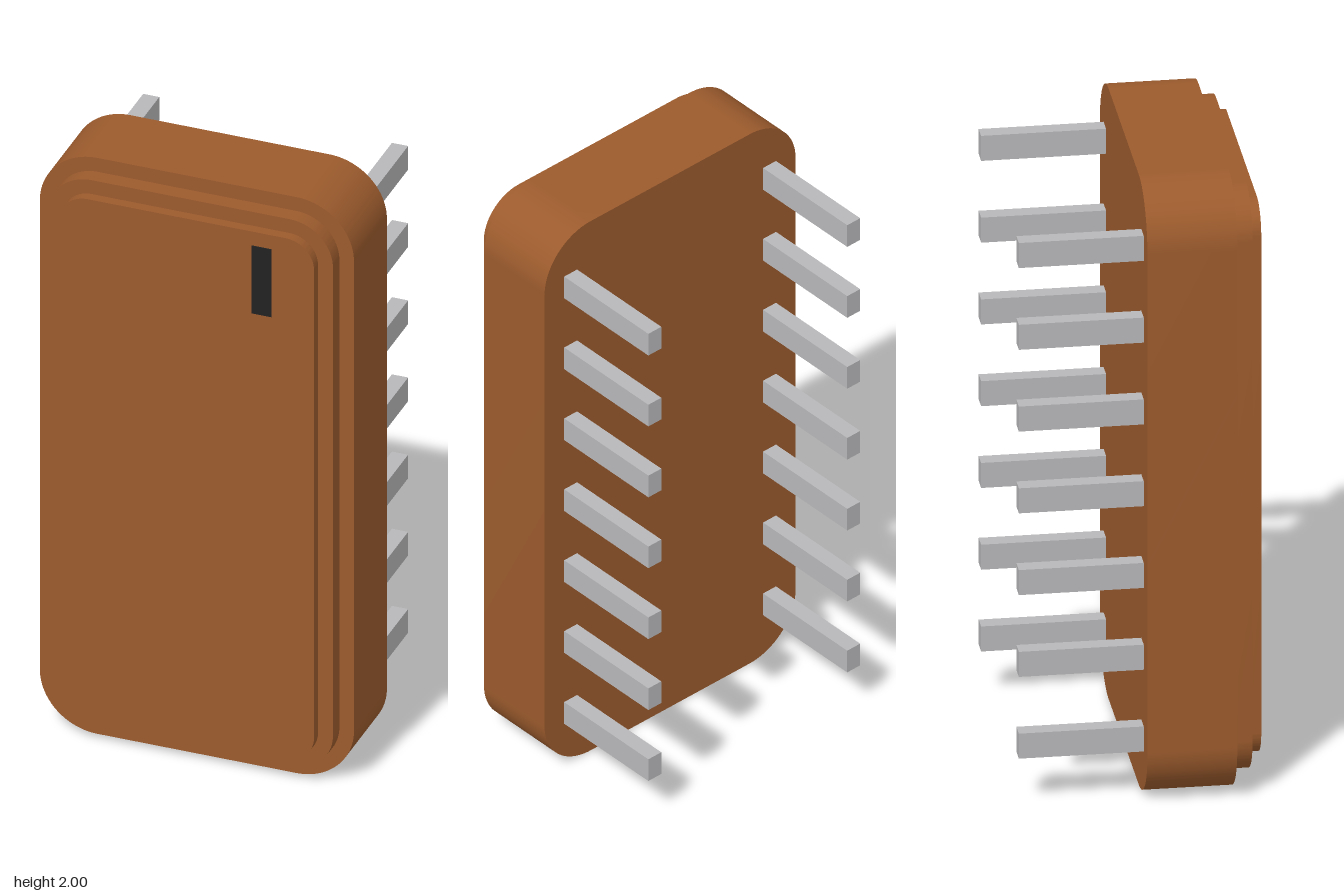
import * as THREE from 'three';
import { toCreasedNormals } from 'three/addons/utils/BufferGeometryUtils.js';

const material = (name, color) => {
  const m = new THREE.MeshStandardMaterial({ color });
  m.name = name;
  return m;
};

// Rounded upright slab, centred on x = 0, y = 1, from z0 to z1
function slab(halfW, halfH, r, z0, z1) {
  const s = new THREE.Shape();
  s.absarc(halfW - r, halfH - r, r, 0, Math.PI / 2);
  s.absarc(-halfW + r, halfH - r, r, Math.PI / 2, Math.PI);
  s.absarc(-halfW + r, -halfH + r, r, Math.PI, Math.PI * 1.5);
  s.absarc(halfW - r, -halfH + r, r, Math.PI * 1.5, Math.PI * 2);
  const g = new THREE.ExtrudeGeometry(s, { depth: z1 - z0, bevelEnabled: false, curveSegments: 16 });
  g.translate(0, 1, z0);
  return toCreasedNormals(g, Math.PI / 6);
}

export function createModel() {
  const brown = material('brown casing', 0x9c5b2d);
  const silver = material('silver metal', 0xb8b8ba);
  const black = material('black marking', 0x222222);
  const group = new THREE.Group();
  group.name = 'displayPackage';

  const add = (name, geometry, mat, x = 0, y = 0, z = 0, parent = group) => {
    const mesh = new THREE.Mesh(geometry, mat);
    mesh.name = name;
    mesh.position.set(x, y, z);
    parent.add(mesh);
  };

  // Casing in three stepped layers
  add('casingBase', slab(0.505, 1, 0.185, 0.008, 0.28), brown);
  add('casingStep', slab(0.458, 0.952, 0.14, 0.28, 0.333), brown);
  add('casingFace', slab(0.41, 0.904, 0.092, 0.333, 0.366), brown);

  // Index mark on the face
  add('indexMark', new THREE.BoxGeometry(0.064, 0.234, 0.004), black, 0.242, 1.739, 0.368);

  // Two rows of seven pins on the back
  const pin = new THREE.BoxGeometry(0.052, 0.082, 0.378);
  for (const [name, x] of [['leftPins', 0.4], ['rightPins', -0.4]]) {
    const row = new THREE.Group();
    row.name = name;
    group.add(row);
    for (let i = 0; i < 7; i++) add('pin', pin, silver, x, 1 + (i - 3) * 0.268, -0.181, row);
  }
  return group;
}
